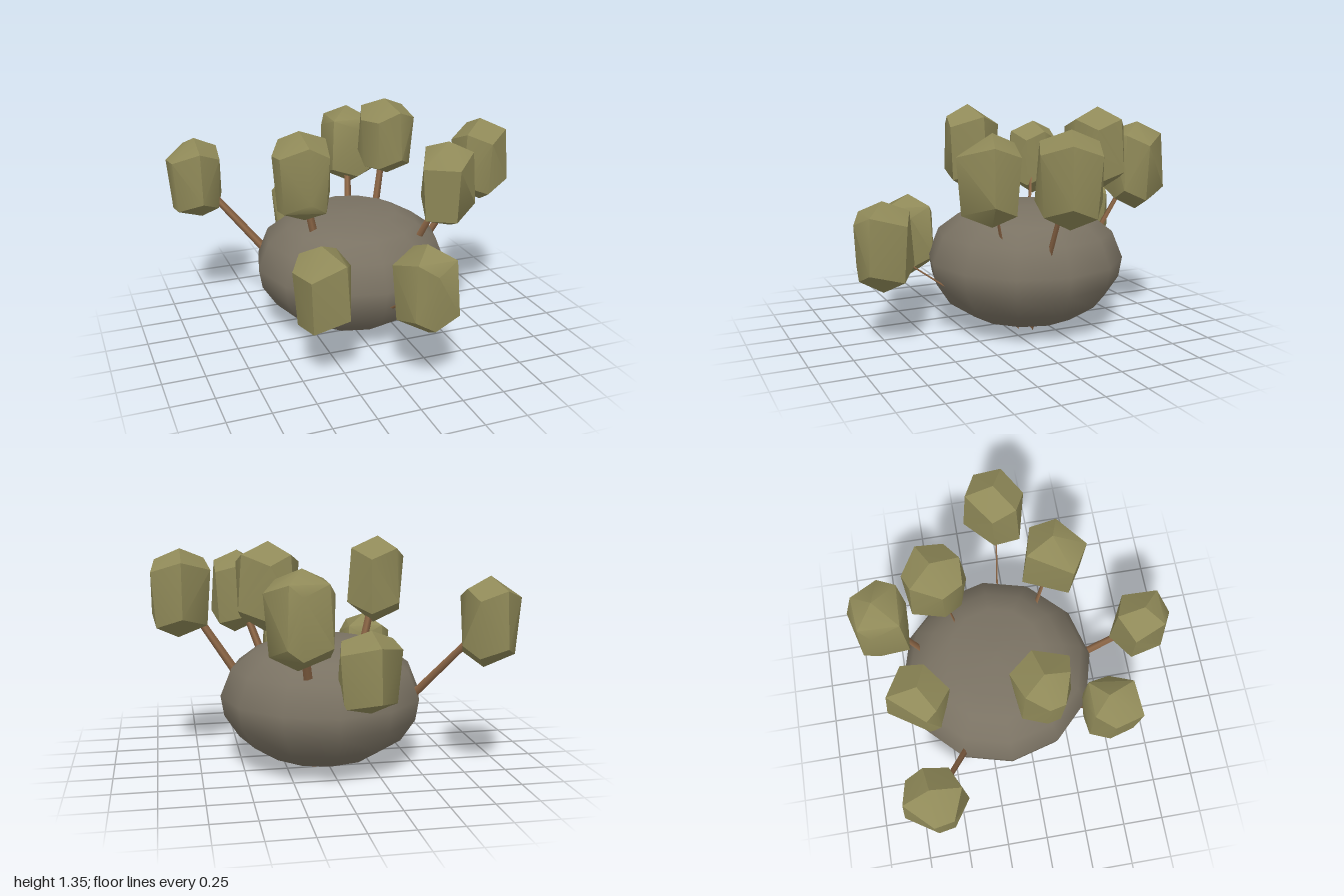
import * as THREE from 'three';
import { toCreasedNormals } from 'three/addons/utils/BufferGeometryUtils.js';
import { ConvexGeometry } from 'three/addons/geometries/ConvexGeometry.js';

// Each pod: bottom, top, then its outline from above as [x, z] corners.
const PODS = [
  { y: [0.65, 1.16], plan: [[-1, -0.63], [-0.87, -0.8], [-0.72, -0.75], [-0.66, -0.65], [-0.69, -0.51], [-0.82, -0.43], [-0.98, -0.52]] },
  { y: [0.4, 0.88], plan: [[-0.34, -0.61], [-0.17, -0.85], [0.03, -0.72], [0.02, -0.57], [-0.16, -0.45], [-0.32, -0.53]] },
  { y: [0.71, 1.24], plan: [[0.08, -0.83], [0.1, -0.91], [0.26, -0.945], [0.34, -0.93], [0.44, -0.76], [0.38, -0.63], [0.27, -0.61], [0.09, -0.64]] },
  { y: [0.86, 1.35], plan: [[0.2, -0.4], [0.25, -0.59], [0.38, -0.61], [0.545, -0.52], [0.54, -0.35], [0.42, -0.25], [0.27, -0.28]] },
  { y: [0.76, 1.28], plan: [[0.66, -0.05], [0.83, -0.21], [1, -0.11], [1, 0.06], [0.83, 0.16], [0.67, 0.11]] },
  { y: [0.73, 1.24], plan: [[0.28, 0.36], [0.4, 0.08], [0.62, 0.16], [0.64, 0.32], [0.46, 0.47]] },
  { y: [0.8, 1.33], plan: [[-0.52, 0.07], [-0.46, -0.07], [-0.28, -0.11], [-0.16, 0.02], [-0.23, 0.23], [-0.34, 0.23], [-0.5, 0.16]] },
  { y: [0.28, 0.79], plan: [[-0.54, 0.48], [-0.48, 0.35], [-0.34, 0.32], [-0.23, 0.35], [-0.21, 0.5], [-0.27, 0.66], [-0.49, 0.66]] },
  { y: [0.33, 0.85], plan: [[-0.05, 0.7], [0.11, 0.59], [0.27, 0.68], [0.26, 0.9], [0.11, 0.94], [0, 0.9]] },
];

const CENTRE = new THREE.Vector3(0.03, 0, -0.145);

// Faceted pod: two staggered rings of corners between a top and a bottom point.
function podGeometry({ y: [low, high], plan }, c) {
  const h = high - low;
  const points = [new THREE.Vector3(c.x, high, c.z - 0.01), new THREE.Vector3(c.x + 0.02, low, c.z)];
  plan.forEach(([x, z], i) => {
    const even = i % 2 === 0;
    const ring = (y, s) => points.push(new THREE.Vector3(c.x + (x - c.x) * s, y, c.z + (z - c.z) * s));
    ring(high - h * (even ? 0.24 : 0.13), even ? 1 : 0.87);
    ring(low + h * (even ? 0.14 : 0.26), even ? 0.86 : 1);
  });
  return toCreasedNormals(new ConvexGeometry(points), 0.8);
}

// Flat tapering stalk between two points.
function stalk(from, to, material) {
  const dir = to.clone().sub(from);
  const geometry = new THREE.CylinderGeometry(0.02, 0.032, dir.length(), 4);
  geometry.scale(1, 1, 0.2);
  const mesh = new THREE.Mesh(geometry, material);
  mesh.position.copy(from).add(to).multiplyScalar(0.5);
  mesh.quaternion.setFromUnitVectors(new THREE.Vector3(0, 1, 0), dir.normalize());
  return mesh;
}

export function createModel() {
  const model = new THREE.Group();
  const colour = (name, hex) => {
    const m = new THREE.MeshStandardMaterial({ color: hex });
    m.name = name;
    return m;
  };
  const stone = colour('greyBrown', 0x7a7263);
  const olive = colour('olive', 0x8f8958);
  const wood = colour('wood', 0x916a49);

  // Rounded body with a flattened top
  const profile = [[0, 0.025], [0.17, 0.03], [0.33, 0.075], [0.49, 0.18], [0.575, 0.31],
    [0.595, 0.43], [0.53, 0.59], [0.41, 0.68], [0.28, 0.74], [0, 0.748]];
  const body = new THREE.Mesh(
    new THREE.LatheGeometry(profile.map(([r, y]) => new THREE.Vector2(r, y)), 12), stone);
  body.name = 'body';
  body.position.copy(CENTRE);
  model.add(body);

  // Stalks spread from the underside, through the body, to the pods
  PODS.forEach((pod, i) => {
    const n = pod.plan.length;
    const c = new THREE.Vector3(0, (pod.y[0] + pod.y[1]) / 2, 0);
    for (const [x, z] of pod.plan) {
      c.x += x / n;
      c.z += z / n;
    }
    const mesh = new THREE.Mesh(podGeometry(pod, c), olive);
    mesh.name = `pod${i + 1}`;

    const out = new THREE.Vector3(c.x - CENTRE.x, 0, c.z - CENTRE.z).normalize();
    const foot = CENTRE.clone().addScaledVector(out, 0.15).setY(0.02);
    const stem = stalk(foot, c, wood);
    stem.name = `stalk${i + 1}`;
    model.add(mesh, stem);
  });

  return model;
}
